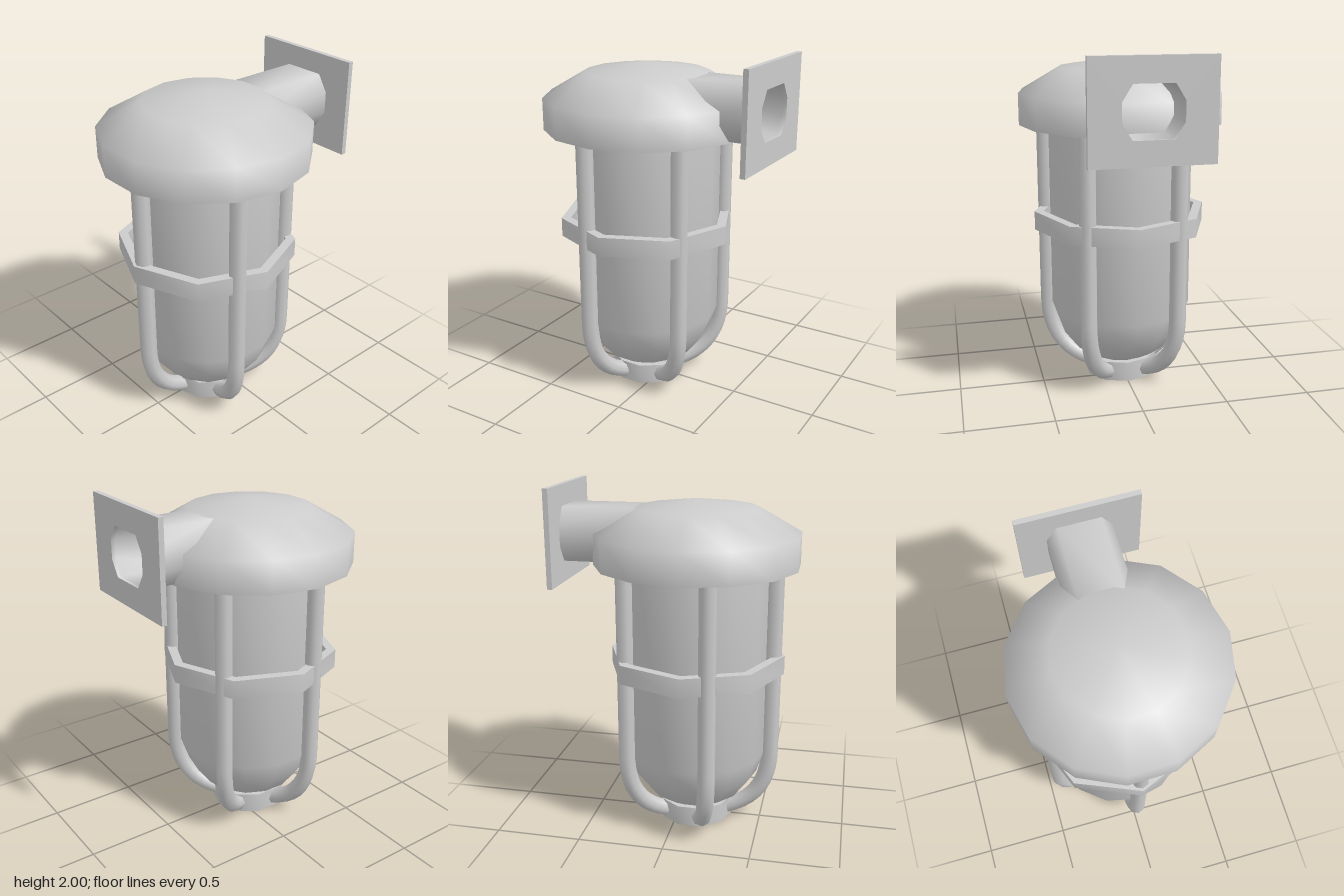
import * as THREE from 'three';
import { toCreasedNormals } from 'three/addons/utils/BufferGeometryUtils.js';

const AXIS_Z = 0.1; // the lamp body stands forward of the wall plate

export function createModel() {
  const model = new THREE.Group();
  const material = new THREE.MeshStandardMaterial({ color: 0xcccccc, side: THREE.DoubleSide });

  const add = (name, geometry, parent = model) => {
    const mesh = new THREE.Mesh(geometry, material);
    mesh.name = name;
    parent.add(mesh);
    return mesh;
  };
  const lathe = (profile, sides, start = 0, crease = 1.2) => toCreasedNormals(
    new THREE.LatheGeometry(profile.map(([r, y]) => new THREE.Vector2(r, y)), sides, start), crease);
  const band = (inner, outer, y0, y1, sides) => lathe(
    [[inner, y0], [outer, y0], [outer, y1], [inner, y1], [inner, y0]], sides, 0, 0.9);

  const body = new THREE.Group();
  body.name = 'lampBody';
  body.position.z = AXIS_Z;
  model.add(body);

  // Domed cap with a flat underside
  add('cap', lathe([[0, 1.56], [0.59, 1.56], [0.59, 1.74], [0.35, 1.88], [0, 1.93]],
    14, THREE.MathUtils.degToRad(13.8)), body);

  // Glass jar with a rounded lower end
  add('glass', lathe([[0, 0.12], [0.18, 0.12], [0.28, 0.18], [0.37, 0.3], [0.42, 0.44], [0.42, 1.57]],
    14), body);

  // Guard cage: five bent bars, a belt and a bottom ring
  const barPath = new THREE.CurvePath();
  const v = (y, r) => new THREE.Vector3(0, y, r);
  barPath.add(new THREE.LineCurve3(v(1.58, 0.448), v(0.45, 0.448)));
  barPath.add(new THREE.CubicBezierCurve3(v(0.45, 0.448), v(0.2, 0.448), v(0.33, 0.1).set(0, 0.1, 0.33), v(0.053, 0.19)));
  const barGeometry = new THREE.TubeGeometry(barPath, 32, 0.05, 8);
  for (let i = 0; i < 5; i++) {
    add('guardBar', barGeometry, body).rotation.y = (i * 2 * Math.PI) / 5;
  }
  add('guardBelt', band(0.46, 0.515, 0.935, 1.045, 8), body);
  add('bottomRing', band(0.155, 0.22, 0, 0.12, 10), body);

  // Hollow chamfered arm section, scaled about its centre
  const section = (s) => [[0.12, 0.155], [0.18, 0.06], [0.18, -0.06], [0.12, -0.155],
    [-0.12, -0.155], [-0.18, -0.06], [-0.18, 0.06], [-0.12, 0.155]]
    .map(([x, y]) => new THREE.Vector2(x * s, 1.725 + y * s));
  const extrude = (outline, z, depth) => {
    const shape = new THREE.Shape(outline);
    shape.holes.push(new THREE.Path(section(0.9)));
    const geometry = new THREE.ExtrudeGeometry(shape, { depth, bevelEnabled: false });
    geometry.translate(0, 0, z);
    return toCreasedNormals(geometry, 1.1);
  };
  add('mountingArm', extrude(section(1), -0.66, 0.46));

  // Rectangular wall plate, open into the arm
  const plate = [[-0.335, 1.45], [0.335, 1.45], [0.335, 2], [-0.335, 2]]
    .map(([x, y]) => new THREE.Vector2(x, y));
  add('wallPlate', extrude(plate, -0.68, 0.03));

  return model;
}
